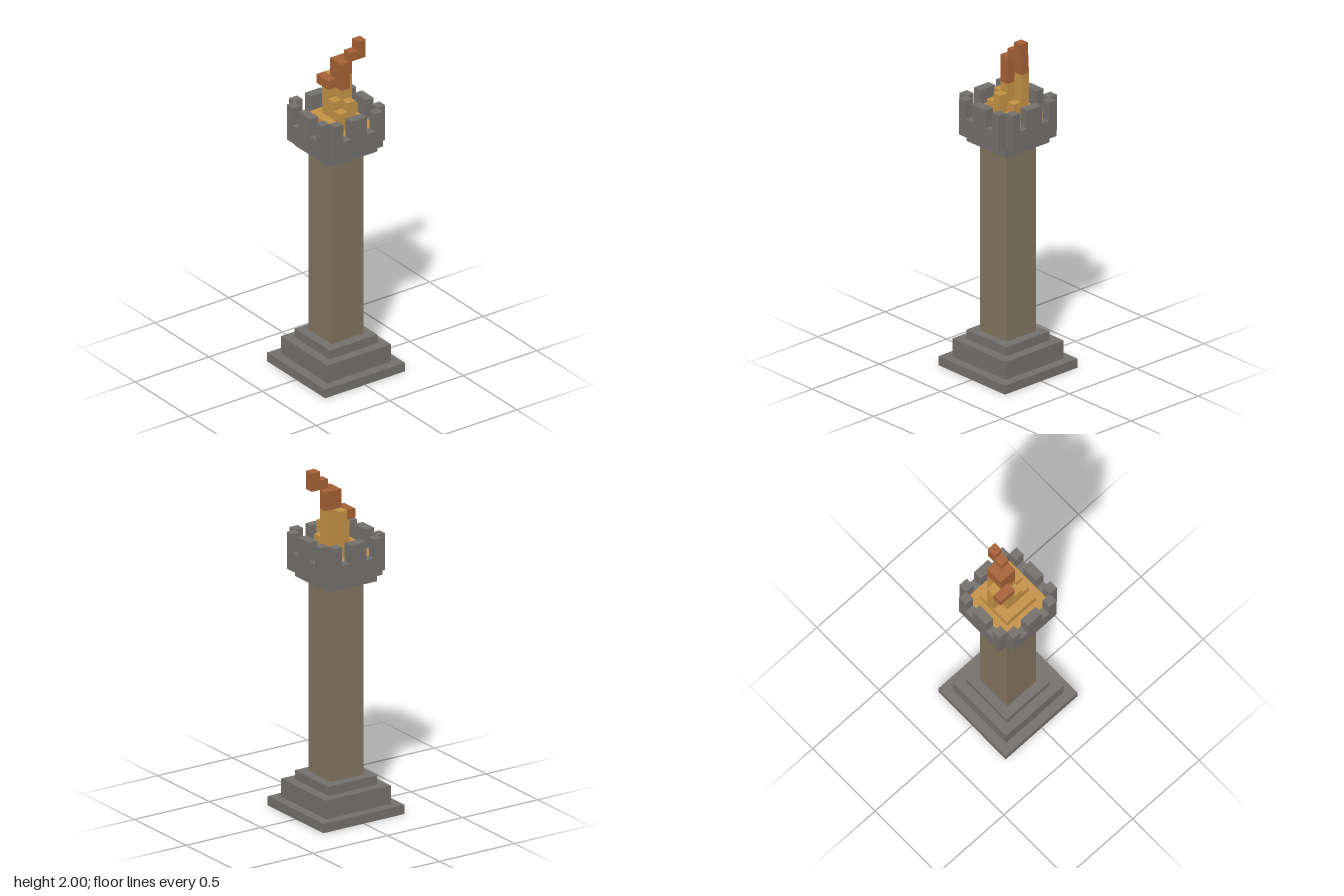
import * as THREE from 'three';

const U = 2 / 37; // one block

export function createModel() {
  const model = new THREE.Group();
  model.name = 'fireTower';
  const mat = (name, color) => Object.assign(new THREE.MeshStandardMaterial({ color }), { name });
  const stone = mat('grey stone', 0x73706c);
  const tan = mat('tan stone', 0x82745f);
  const flame = mat('yellow flame', 0xc39145);
  const ember = mat('red flame', 0xa56135);

  // box between two block corners
  const block = (parent, name, material, x0, x1, y0, y1, z0, z1) => {
    const mesh = new THREE.Mesh(new THREE.BoxGeometry((x1 - x0) * U, (y1 - y0) * U, (z1 - z0) * U), material);
    mesh.position.set((x0 + x1) / 2 * U, (y0 + y1) / 2 * U, (z0 + z1) / 2 * U);
    mesh.name = name;
    parent.add(mesh);
  };
  const slab = (name, material, half, y0, y1) => block(model, name, material, -half, half, y0, y1, -half, half);

  // stepped foot, shaft and bowl
  slab('basePlinth', stone, 5, 0, 1);
  slab('baseStep', stone, 4, 1, 3);
  slab('baseCollar', stone, 3, 3, 4);
  slab('shaft', tan, 2, 4, 25);
  slab('bowlBottom', stone, 3, 25, 27);
  slab('fireBed', flame, 3, 27, 28);

  // four parapet walls with open corners
  for (let i = 0; i < 4; i++) {
    const wall = new THREE.Group();
    wall.name = 'parapet';
    wall.rotation.y = i * Math.PI / 2;
    block(wall, 'wall', stone, -3, 3, 26, 28, 3, 4);
    for (const [a, b] of [[-3, -2], [-1, 1], [2, 3]]) block(wall, 'merlon', stone, a, b, 28, 30, 3, 4);
    model.add(wall);
  }

  // yellow flame: low bed and columns [x, z, top]
  const fire = new THREE.Group();
  fire.name = 'fire';
  model.add(fire);
  block(fire, 'fireMound', flame, -2, 2, 28, 29, -2, 2);
  for (const [x, z, top] of [
    [-1, 1, 30], [0, 1, 31],
    [-1, 0, 31], [0, 0, 32], [1, 0, 30],
    [-1, -1, 32], [0, -1, 33], [1, -1, 33],
    [0, -2, 33],
  ]) block(fire, 'flameColumn', flame, x, x + 1, 29, top, z, z + 1);

  // red flame climbing to the tip
  block(fire, 'backEmber', ember, -1, 0, 32, 33, -2, 0);
  block(fire, 'flameTongue', ember, 0, 1, 32, 35, 0, 1);
  block(fire, 'flameTongue', ember, 0, 2, 33, 35, -1, 0);
  block(fire, 'flameBend', ember, 1, 2, 35, 36, 0, 1);
  block(fire, 'flameTip', ember, 2, 3, 35, 37, 0, 1);

  return model;
}
